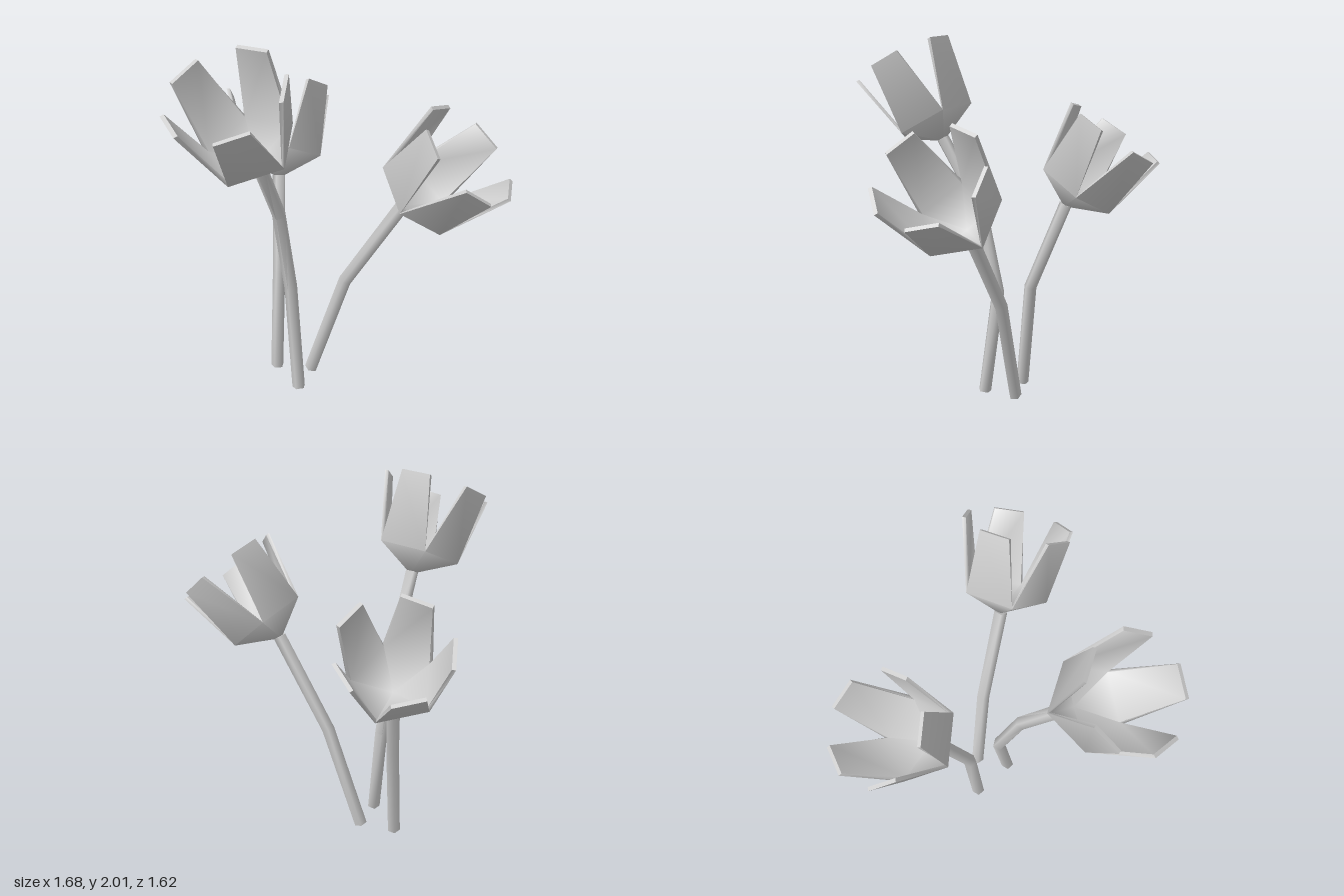
import * as THREE from 'three';
import { toCreasedNormals } from 'three/addons/utils/BufferGeometryUtils.js';

const material = new THREE.MeshStandardMaterial({ color: 0xcccccc, side: THREE.DoubleSide });
const V = (a) => new THREE.Vector3(...a);

function makeMesh(name, points, faces, crease) {
  const geo = new THREE.BufferGeometry();
  geo.setAttribute('position', new THREE.Float32BufferAttribute(points.flatMap((p) => p.toArray()), 3));
  geo.setIndex(faces.flat());
  const mesh = new THREE.Mesh(toCreasedNormals(geo, crease), material);
  mesh.name = name;
  return mesh;
}
const quad = (a, b, c, d) => [a, b, c, a, c, d];

// Bent stem: mitred rings of five corners along a path, closed at both ends
function makeStem(path, radius = 0.037, sides = 5) {
  const points = [], faces = [];
  const last = path.length - 1;
  path.forEach((p, i) => {
    const dir = path[Math.min(i + 1, last)].clone().sub(path[Math.max(i - 1, 0)]).normalize();
    const u = V([0, 0, 1]).cross(dir).cross(dir).normalize();
    const w = dir.clone().cross(u);
    for (let k = 0; k < sides; k++) {
      const a = (k / sides) * Math.PI * 2;
      points.push(p.clone().addScaledVector(u, radius * Math.cos(a)).addScaledVector(w, radius * Math.sin(a)));
    }
  });
  for (let i = 0; i < last; i++) {
    for (let k = 0; k < sides; k++) {
      const a = i * sides + k, b = i * sides + ((k + 1) % sides);
      faces.push(quad(a, b, b + sides, a + sides));
    }
  }
  for (let k = 1; k < sides - 1; k++) {
    faces.push([0, k + 1, k], [last * sides, last * sides + k, last * sides + k + 1]);
  }
  return makeMesh('stem', points, faces, 1.3);
}

// Cup of five joined petals, as an outer and an inner shell with a rim between.
// Local y is the flower's axis; the first notch lies on local x.
function makeBlossom() {
  const points = [], faces = [];
  const R = 0.23, step = (Math.PI * 2) / 5;
  const shell = (inset, baseY) => {
    points.push(V([0, baseY, 0]));
    for (let k = 0; k < 5; k++) {
      const a = k * step;
      points.push(V([(R - inset) * Math.cos(a), 0, (R - inset) * Math.sin(a)]));
    }
    for (let k = 0; k < 5; k++) {
      const a = (k + 0.5) * step, r = 0.285 - inset;
      for (const half of [-0.082, 0.082]) {
        points.push(V([r * Math.cos(a) - half * Math.sin(a), 0.375, r * Math.sin(a) + half * Math.cos(a)]));
      }
    }
  };
  shell(0, -0.12);
  shell(0.02, -0.1);
  const inner = 16;
  for (let k = 0; k < 5; k++) {
    const n0 = 1 + k, n1 = 1 + ((k + 1) % 5), t0 = 6 + 2 * k, t1 = t0 + 1;
    // outside
    faces.push([0, n0, n1], quad(n0, t0, t1, n1));
    // inside
    faces.push([inner, inner + n1, inner + n0], quad(inner + n0, inner + n1, inner + t1, inner + t0));
    // rim
    for (const [a, b] of [[n0, t0], [t0, t1], [t1, n1]]) faces.push(quad(a, a + inner, b + inner, b));
  }
  return makeMesh('petals', points, faces, 1.3);
}

// Each flower: cup centre, axis, direction of the first notch, and stem points
const flowers = [
  {
    name: 'leftFlower', centre: [0.381, 1.207, 0.338], axis: [0.558, 0.71, 0.427], notch: [0.361, -0.672, 0.646],
    stem: [[-0.095, 0.012, -0.01], [0.08, 0.63, 0.095]],
  },
  {
    name: 'rightFlower', centre: [-0.447, 1.545, 0.389], axis: [-0.338, 0.853, 0.4], notch: [-0.553, -0.524, 0.65],
    stem: [[-0.196, 0.008, 0.152], [-0.217, 0.6, 0.07], [-0.286, 1.08, 0.155]],
  },
  {
    name: 'backFlower', centre: [-0.199, 1.19, -0.37], axis: [0.1, 0.832, -0.545], notch: [0.107, 0.536, 0.838],
    stem: [[-0.28, 0.006, -0.082], [-0.25, 0.61, -0.122]],
  },
];

export function createModel() {
  const model = new THREE.Group();
  model.name = 'flowers';
  for (const f of flowers) {
    const group = new THREE.Group();
    group.name = f.name;
    const centre = V(f.centre), y = V(f.axis).normalize();
    const z = V(f.notch).cross(y).normalize();
    const x = y.clone().cross(z);

    const blossom = makeBlossom();
    blossom.quaternion.setFromRotationMatrix(new THREE.Matrix4().makeBasis(x, y, z));
    blossom.position.copy(centre);

    const top = centre.clone().addScaledVector(y, -0.105);
    group.add(blossom, makeStem([...f.stem.map(V), top]));
    model.add(group);
  }
  return model;
}
